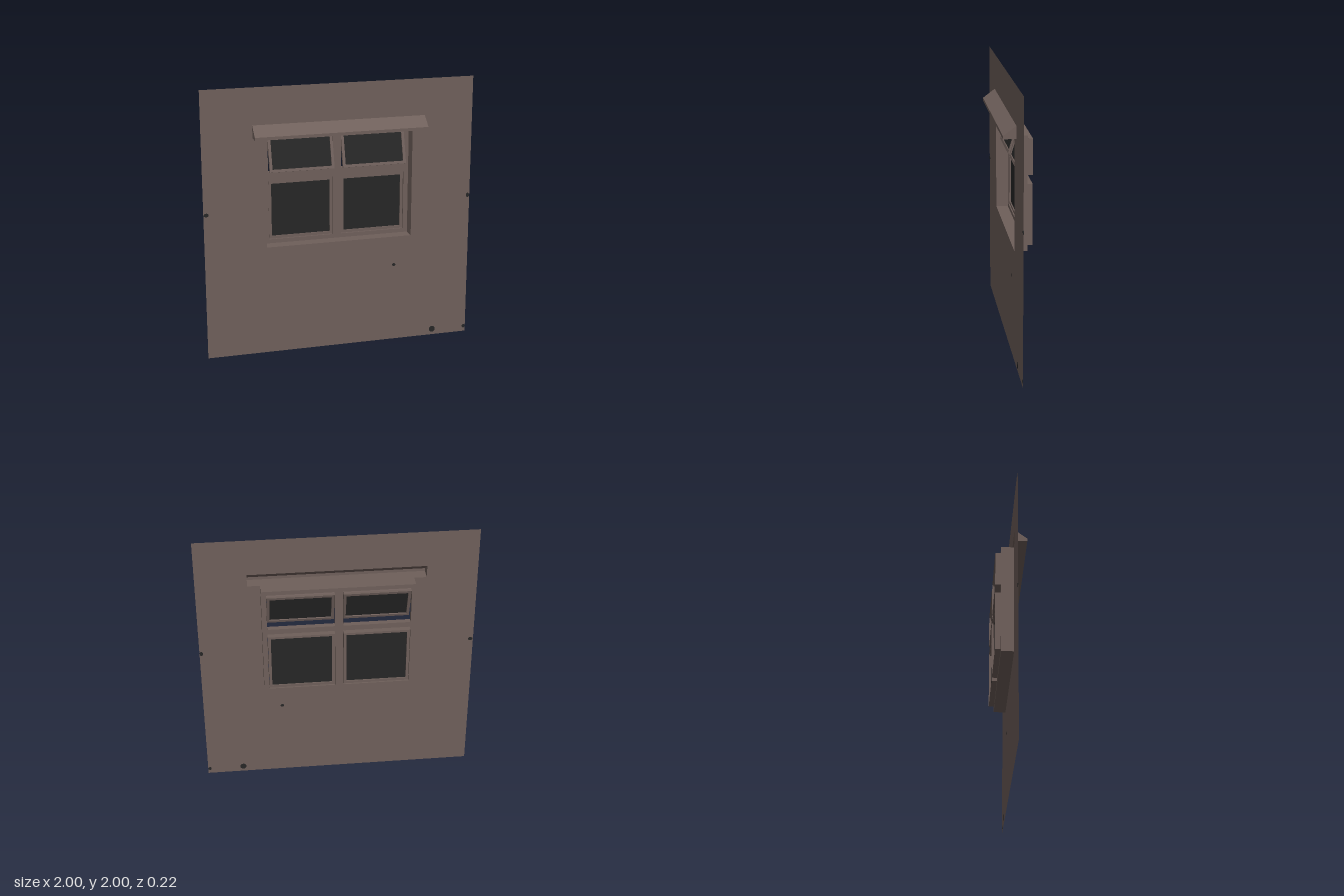
import * as THREE from 'three';

const WALL_Z = 0.02, FRAME_Z = -0.07, BACK_Z = -0.11;

// Rectangle path, usable as an outline or a hole
function rect(x0, y0, x1, y1, Type = THREE.Path) {
  const p = new Type();
  p.moveTo(x0, y0);
  p.lineTo(x1, y0);
  p.lineTo(x1, y1);
  p.lineTo(x0, y1);
  p.closePath();
  return p;
}

// Flat shaded surface from four-cornered faces
function quads(list) {
  const pos = [];
  for (const [a, b, c, d] of list) pos.push(...a, ...b, ...c, ...a, ...c, ...d);
  const g = new THREE.BufferGeometry();
  g.setAttribute('position', new THREE.Float32BufferAttribute(pos, 3));
  g.computeVertexNormals();
  return g;
}

// Four reveal walls around a rectangular opening, open front and back
function sleeve(x0, y0, x1, y1, zFront, zBack) {
  const c = [[x0, y0], [x1, y0], [x1, y1], [x0, y1]];
  return quads(c.map((p, i) => {
    const q = c[(i + 1) % 4];
    return [[...p, zFront], [...p, zBack], [...q, zBack], [...q, zFront]];
  }));
}

export function createModel() {
  const plaster = new THREE.MeshStandardMaterial({ color: 0x6e5f5a, side: THREE.DoubleSide });
  plaster.name = 'brown plaster';
  const glass = new THREE.MeshStandardMaterial({ color: 0x262626 });
  glass.name = 'dark glass';

  const model = new THREE.Group();
  model.name = 'wallWithWindow';
  const add = (name, geometry, material, parent = model) => {
    const m = new THREE.Mesh(geometry, material);
    m.name = name;
    parent.add(m);
    return m;
  };

  // Wall sheet with one opening for the window and the hollow canopy
  const wall = rect(-1, 0, 1, 2, THREE.Shape);
  wall.holes.push(new THREE.Path([
    [-0.545, 0.82], [0.545, 0.82], [0.545, 1.64], [0.635, 1.64],
    [0.635, 1.73], [-0.635, 1.73], [-0.635, 1.64], [-0.545, 1.64],
  ].map(([x, y]) => new THREE.Vector2(x, y))));
  add('wall', new THREE.ShapeGeometry(wall), plaster).position.z = WALL_Z;

  // Canopy: sloped top, front lip, underside and two ends, open to the back
  const w = 0.635;
  const profile = [[1.73, WALL_Z], [1.662, 0.11], [1.64, 0.11], [1.64, WALL_Z]];
  const faces = [];
  for (let i = 0; i < 3; i++) {
    const a = profile[i], b = profile[i + 1];
    faces.push([[-w, ...a], [-w, ...b], [w, ...b], [w, ...a]]);
  }
  faces.push(profile.map(p => [w, ...p]).reverse(), profile.map(p => [-w, ...p]));
  add('canopy', quads(faces), plaster);

  // Recessed reveal and the cross-shaped frame behind it
  add('windowReveal', sleeve(-0.545, 0.82, 0.545, 1.64, WALL_Z, FRAME_Z), plaster);
  const frame = rect(-0.545, 0.82, 0.545, 1.64, THREE.Shape);
  const rows = [
    { name: 'lower', y0: 0.85, y1: 1.29, tilt: 0 },
    { name: 'upper', y0: 1.355, y1: 1.61, tilt: -0.29 },
  ];
  const width = 0.48, bar = 0.02, depth = 0.024;
  for (const { name, y0, y1, tilt } of rows) {
    for (const side of [-1, 1]) {
      const cx = side * 0.27, h = y1 - y0;
      const x0 = cx - width / 2, x1 = cx + width / 2;
      frame.holes.push(rect(x0, y0, x1, y1));
      add(name + 'Opening', sleeve(x0, y0, x1, y1, FRAME_Z, BACK_Z), plaster);

      // Sash hung from its top edge; the upper ones swing forward
      const sash = new THREE.Group();
      sash.name = name + 'Sash';
      sash.position.set(cx, y1 - 0.002, -0.09);
      sash.rotation.x = tilt;
      const hw = width / 2 - 0.002, H = h - 0.004;
      const ring = rect(-hw, -H, hw, 0, THREE.Shape);
      ring.holes.push(rect(-hw + bar, -H + bar, hw - bar, -bar));
      const ringGeo = new THREE.ExtrudeGeometry(ring, { depth, bevelEnabled: false });
      ringGeo.translate(0, 0, -depth / 2);
      add('sashFrame', ringGeo, plaster, sash);
      const pane = new THREE.BoxGeometry(2 * (hw - bar), H - 2 * bar, 0.006);
      add('pane', pane, glass, sash).position.y = -H / 2;
      model.add(sash);
    }
  }
  add('windowFrame', new THREE.ShapeGeometry(frame), plaster).position.z = FRAME_Z;

  // Small dark chips in the wall: x, y, half width, half height
  const chips = [
    [-0.98, 1.1, 0.019, 0.014], [0.986, 1.1, 0.013, 0.017], [0.415, 0.6, 0.014, 0.011],
    [0.73, 0.045, 0.025, 0.024], [0.986, 0.042, 0.013, 0.014],
  ];
  for (const [x, y, rx, ry] of chips) {
    const g = new THREE.CylinderGeometry(1, 1, 0.004, 8);
    g.rotateY(Math.PI / 8).rotateX(Math.PI / 2).scale(rx, ry, 1);
    add('wallChip', g, glass).position.set(x, y, WALL_Z);
  }
  return model;
}
